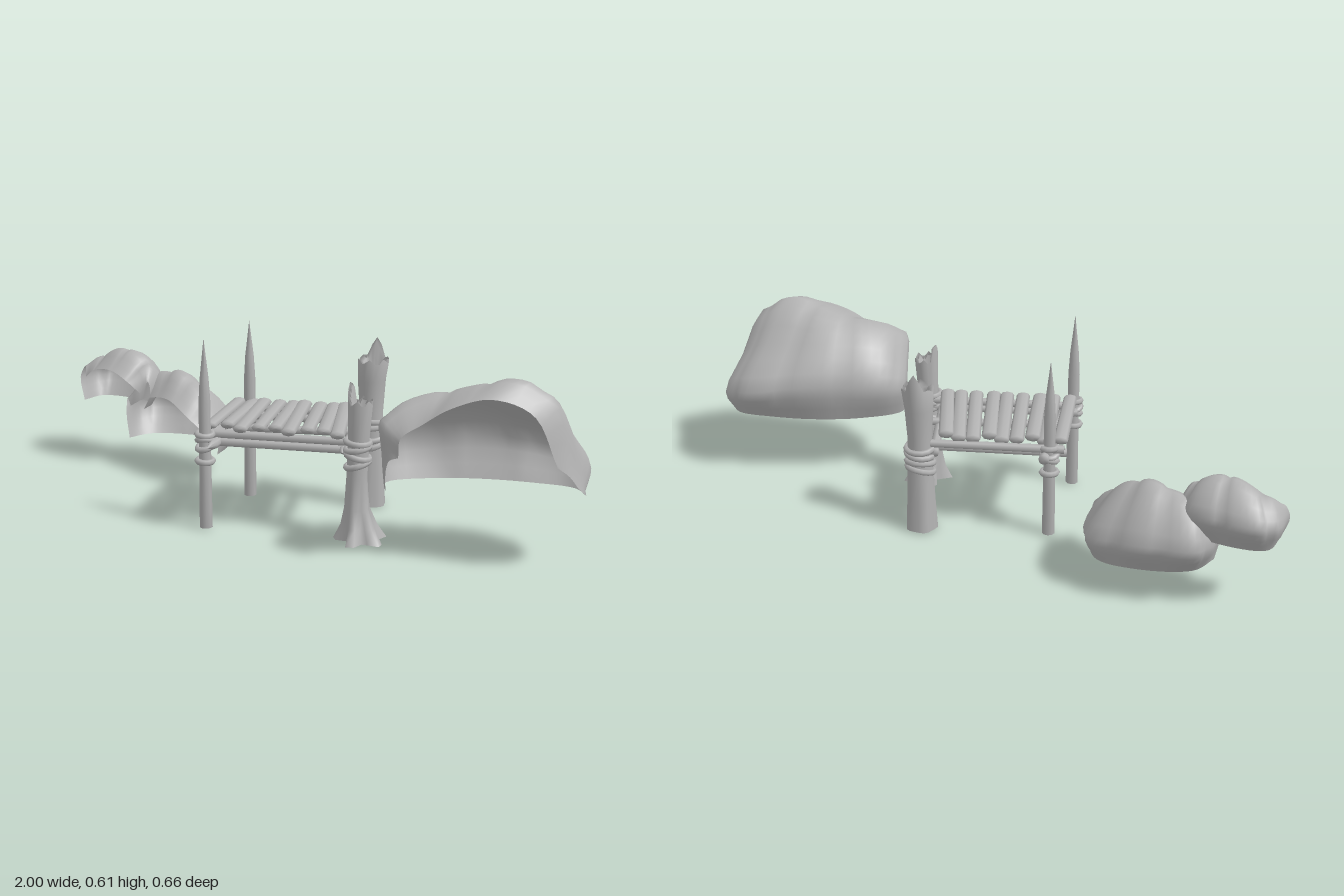
import * as THREE from 'three';

const stone = new THREE.MeshStandardMaterial({ color: 0xb2b2b2, side: THREE.DoubleSide });
stone.name = 'plain grey';
const V = (x, y, z) => new THREE.Vector3(x, y, z);

// Smooth surface from a rule giving a point for every row and column
function grid(rows, cols, closed, point) {
  const pos = [], idx = [], n = closed ? cols : cols + 1;
  for (let j = 0; j <= rows; j++)
    for (let i = 0; i < n; i++) pos.push(...point(i / cols, j, i).toArray());
  for (let j = 0; j < rows; j++)
    for (let i = 0; i < cols; i++) {
      const a = j * n + i, b = j * n + (i + 1) % n;
      idx.push(a, a + n, b, b, a + n, b + n);
    }
  const g = new THREE.BufferGeometry();
  g.setAttribute('position', new THREE.Float32BufferAttribute(pos, 3));
  g.setIndex(idx);
  g.computeVertexNormals();
  return g;
}

function add(parent, name, geometry) {
  const m = new THREE.Mesh(geometry, stone);
  m.name = name;
  parent.add(m);
  return m;
}

// Hollow puffy shell lofted through a foot, a bulge, a crest and a front lip
function puff(parent, name, sections, lumps) {
  const curves = sections.map(s => new THREE.CatmullRomCurve3(s.map(p => V(...p))));
  const rows = 12, cols = 32;
  const centre = curves[0].getPoint(0.5).lerp(curves.at(-1).getPoint(0.5), 0.5);
  add(parent, name, grid(rows, cols, false, (u, j) => {
    const v = j / rows;
    const p = new THREE.CatmullRomCurve3(curves.map(c => c.getPoint(u))).getPoint(v);
    const fade = Math.min(1, v * 4, (1 - v) * 4, u * 6, (1 - u) * 6);
    const lump = Math.sqrt(Math.abs(Math.sin(Math.PI * u * lumps))) - 0.75;
    return p.sub(centre).multiplyScalar(1 + 0.09 * fade * lump).add(centre);
  }));
}

// Log between two points, optionally sharpened at its far end
function log(parent, name, a, b, r, tip = 0, flat = 1) {
  const len = a.distanceTo(b);
  const prof = [[0, 0], [r, 0], [r * 0.93, len - tip], [0, len]];
  const g = new THREE.LatheGeometry(prof.map(p => new THREE.Vector2(...p)), 8);
  const m = add(parent, name, g);
  const dir = b.clone().sub(a).normalize();
  const side = V(dir.z, 0, -dir.x).normalize();
  const top = new THREE.Vector3().crossVectors(side, dir);
  m.quaternion.setFromRotationMatrix(new THREE.Matrix4().makeBasis(side, dir, top));
  m.scale.z = flat;
  m.position.copy(a);
}

// Rope turns wound round a post
function ropes(parent, name, x, z, r, turns) {
  turns.forEach(([y, tiltX, tiltZ]) => {
    const m = add(parent, name, new THREE.TorusGeometry(r, 0.0095, 6, 14).rotateX(Math.PI / 2));
    m.position.set(x, y, z);
    m.rotation.set(tiltX, 0, tiltZ);
  });
}

// Hollow trunk: rings of [height, radius, x shift], root lobes and a splintered rim
function trunk(parent, name, x, z, rings, lobe, splinter) {
  const cols = 20, last = rings.length - 1;
  const [rimY, rimR, rimX] = rings[last];
  const all = [...rings, [rimY - 0.01, rimR * 0.72, rimX],
    [rimY - 0.07, rimR * 0.5, rimX], [rimY - 0.07, 0.001, rimX]];
  add(parent, name, grid(all.length - 1, cols, true, (u, j, i) => {
    const a = u * Math.PI * 2;
    let [y, r, dx] = all[j];
    if (j < 3) r *= 1 + lobe * [1, 0.6, 0.25][j] * Math.sin(a * 5 + 0.5);
    if (j === last || j === last + 1) {
      y += 0.01 * Math.sin(i * 1.9);
      const d = Math.cos(a - splinter);
      if (d > 0.75) y += 0.055 * (d - 0.75) / 0.25;
    }
    return V(x + dx + r * Math.cos(a), y, z + r * Math.sin(a));
  }));
}

export function createModel() {
  const model = new THREE.Group();

  // Hollow puffs on either side
  puff(model, 'largePuff', [
    [[.49, .21, .22], [.435, .21, .12], [.53, .21, .01], [.66, .21, -.07], [.8, .21, -.12], [.92, .21, -.14], [.98, .21, -.09]],
    [[.5, .26, .24], [.415, .31, .09], [.5, .33, -.01], [.65, .34, -.1], [.8, .32, -.17], [.94, .29, -.17], [1, .235, -.03]],
    [[.515, .3, .26], [.445, .39, .16], [.53, .45, .05], [.67, .46, -.02], [.8, .45, -.05], [.93, .41, -.06], [1, .26, .01]],
    [[.535, .33, .275], [.495, .445, .25], [.59, .505, .14], [.69, .53, .09], [.8, .565, .08], [.91, .53, .03], [.985, .3, .04]],
    [[.56, .34, .27], [.57, .4, .275], [.62, .44, .25], [.7, .495, .22], [.8, .525, .17], [.9, .48, .11], [.96, .33, .07]],
  ], 5);
  puff(model, 'lowerSmallPuff', [
    [[-.78, .095, -.12], [-.75, .095, -.21], [-.6, .095, -.28], [-.46, .09, -.27], [-.38, .1, -.11]],
    [[-.8, .18, -.13], [-.79, .2, -.27], [-.61, .2, -.325], [-.435, .17, -.285], [-.37, .14, -.1]],
    [[-.81, .23, -.15], [-.74, .31, -.2], [-.6, .345, -.2], [-.48, .285, -.17], [-.38, .18, -.09]],
    [[-.78, .21, -.13], [-.7, .25, -.12], [-.58, .27, -.09], [-.47, .23, -.06], [-.4, .17, -.08]],
  ], 5);
  puff(model, 'upperSmallPuff', [
    [[-.97, .21, -.1], [-.96, .21, -.19], [-.85, .21, -.22], [-.74, .21, -.2], [-.71, .21, -.12]],
    [[-.995, .29, -.11], [-.98, .3, -.23], [-.84, .31, -.265], [-.71, .3, -.23], [-.68, .27, -.12]],
    [[-.98, .33, -.12], [-.93, .37, -.17], [-.82, .405, -.17], [-.73, .37, -.17], [-.69, .31, -.12]],
    [[-.95, .3, -.09], [-.91, .33, -.09], [-.82, .34, -.08], [-.75, .31, -.08], [-.71, .27, -.1]],
  ], 4);

  // Sharpened poles
  [['backPole', -.207, -.063, .595], ['frontPole', -.125, .282, .607]].forEach(([name, x, z, h]) => {
    const prof = [[0, .004], [.0205, .004], [.0185, .3], [.019, .4], [.014, .48], [0, h]];
    const m = add(model, name, new THREE.LatheGeometry(prof.map(p => new THREE.Vector2(...p)), 9));
    m.position.set(x, 0, z);
    ropes(model, name + 'Rope', x, z, .024, [[.22, .05, -.06], [.265, .3, .1], [.285, -.3, .15], [.305, .1, -.1]]);
  });

  // Hollow trunks
  trunk(model, 'backTrunk', .17, -.212,
    [[.004, .05, 0], [.1, .045, 0], [.2, .041, 0], [.32, .038, 0], [.42, .045, 0], [.485, .05, .005]], .06, -1.9);
  trunk(model, 'frontTrunk', .325, .1,
    [[0, .066, .005], [.045, .05, 0], [.1, .038, -.008], [.2, .032, -.01], [.32, .033, -.005], [.435, .038, 0]], .35, 3.1);
  ropes(model, 'backTrunkRope', .17, -.212, .043, [[.21, .3, .1], [.235, .25, -.05], [.265, 0, .1], [.285, -.1, 0]]);
  ropes(model, 'frontTrunkRope', .317, .1, .037, [[.24, .15, .25], [.265, -.1, -.2], [.29, .1, .15], [.31, 0, -.1]]);

  // Lengthwise rails
  [[-.25, -.03, .21, -.21, .282], [-.25, -.05, .18, -.22, .302], [-.16, .13, .24, -.05, .29],
    [-.15, .26, .33, .07, .275], [-.13, .25, .3, .08, .3]].forEach(([x1, z1, x2, z2, y]) =>
    log(model, 'rail', V(x1, y, z1), V(x2, y, z2), .014));

  // Cross beams with pointed ends
  log(model, 'crossBeam', V(-.205, .278, -.1), V(-.08, .276, .33), .017, .05);
  log(model, 'crossBeam', V(.12, .275, -.21), V(.28, .275, .13), .015, .03);

  // Deck of uneven split planks
  const count = 9;
  for (let i = 0; i < count; i++) {
    const t = i / (count - 1), w = Math.sin(i * 4.1) * .01;
    const back = V(-.235 + t * .33, .326 + w * .4, -.045 - t * .14 + w);
    const front = V(-.125 + t * .38, .326 - w * .4, .258 - t * .15 + w);
    log(model, 'plank', back, front, .023 + Math.abs(w) * .2, .003, .55);
  }
  return model;
}
